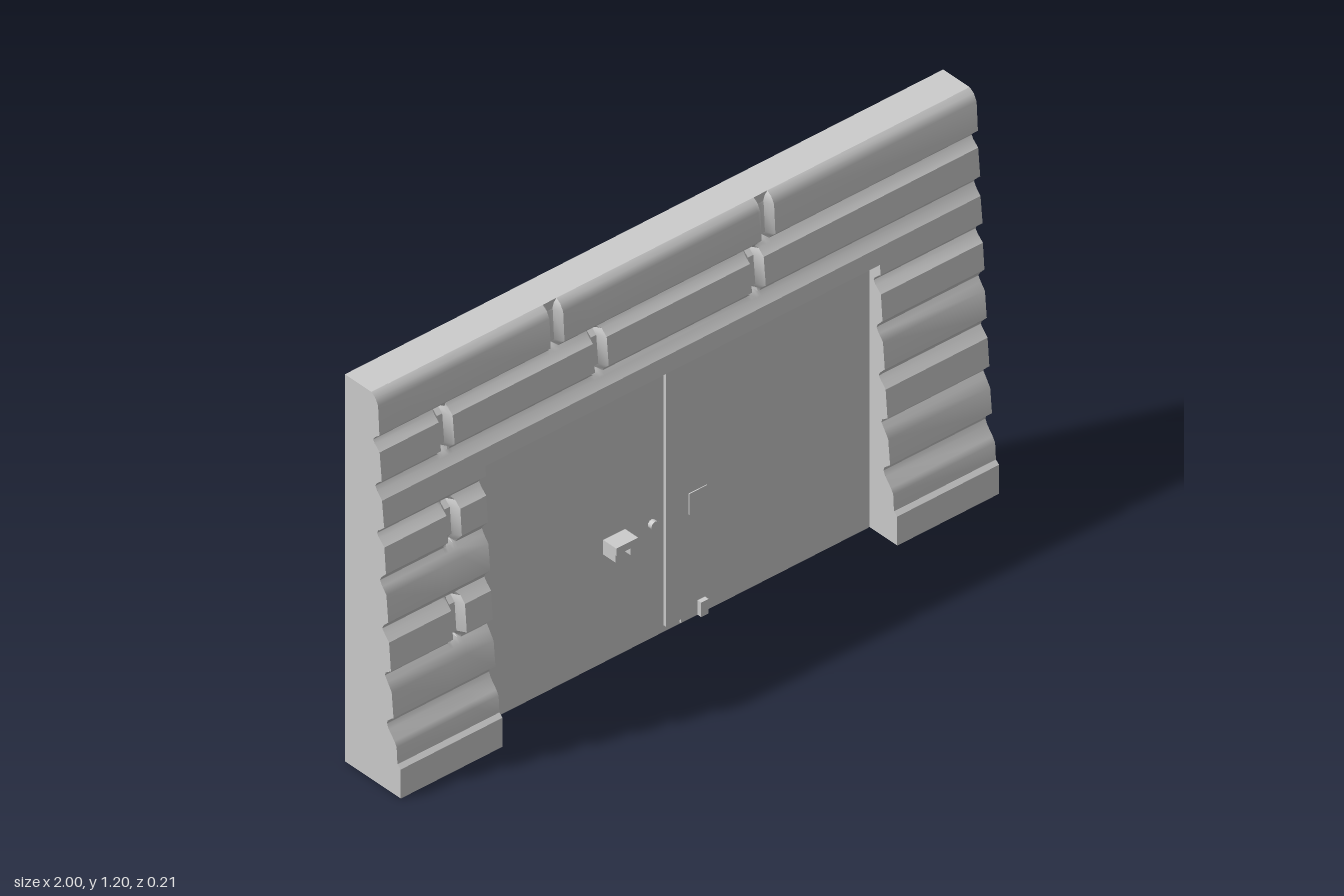
import * as THREE from 'three';
import { toCreasedNormals } from 'three/addons/utils/BufferGeometryUtils.js';

const grey = new THREE.MeshStandardMaterial({ color: 0xcccccc, side: THREE.DoubleSide });
const BACK = -0.107, RIM = 0.055, DOOR_X = 0.66, DOOR_TOP = 0.835;

// Leaning block courses in section: [height, depth]
const profile = [
  [0, 0.107], [0.09, 0.107], [0.1, 0.095], [0.15, 0.092], [0.165, 0.083], [0.19, 0.062],
  [0.205, 0.055], [0.215, 0.058], [0.235, 0.08], [0.31, 0.073], [0.335, 0.057], [0.35, 0.047],
  [0.36, 0.05], [0.375, 0.07], [0.46, 0.063], [0.478, 0.046], [0.49, 0.037], [0.5, 0.041],
  [0.52, 0.06], [0.6, 0.053], [0.62, 0.037], [0.635, 0.028], [0.645, 0.033], [0.665, 0.051],
  [0.745, 0.045], [0.763, 0.025], [0.775, 0.017], [0.785, 0.022], [0.805, 0.044], [0.835, 0.041],
  [0.885, 0.036], [0.905, 0.018], [0.918, 0.011], [0.928, 0.016], [0.945, 0.035], [1.03, 0.027],
  [1.047, 0.008], [1.057, 0.002], [1.068, 0.01], [1.082, 0.026], [1.17, 0.021], [1.19, 0.01], [1.2, -0.005],
];

// Upright joints: [x, bottom, top]
const joints = [
  [-0.405, 1.06, 1.21], [0.3, 1.06, 1.21],
  [-0.78, 0.925, 1.05], [-0.265, 0.925, 1.05], [0.26, 0.925, 1.05],
  [-0.77, 0.64, 0.77], [-0.77, 0.355, 0.485],
];

// Depth of the block face, notched at the joints
function depthAt(x, y, z) {
  let cut = 0;
  for (const [jx, y0, y1] of joints) {
    const d = Math.abs(x - jx);
    if (y > y0 && y < y1 && d < 0.023) cut = Math.max(cut, 0.024 * Math.min(1, (0.023 - d) / 0.014));
  }
  return z - cut;
}

// Moulded sheet of blocks between the given limits
function blockSkin(x0, x1, y0, y1, offset) {
  const cols = new Set([x0, x1]);
  for (const [jx] of joints) {
    for (const d of [-0.023, -0.009, 0.009, 0.023]) if (jx + d > x0 && jx + d < x1) cols.add(jx + d);
  }
  const xs = [...cols].sort((a, b) => a - b);
  const rows = profile.filter(([y]) => y >= y0 && y <= y1);
  const pos = [], index = [], n = xs.length;
  for (const [y, z] of rows) for (const x of xs) pos.push(x, y, depthAt(x, y, z) + offset);
  for (let r = 0; r < rows.length - 1; r++) {
    for (let c = 0; c < n - 1; c++) {
      const a = r * n + c;
      if (offset < 0) index.push(a, a + n, a + 1, a + 1, a + n, a + n + 1);
      else index.push(a, a + 1, a + n, a + 1, a + n + 1, a + n);
    }
  }
  const g = new THREE.BufferGeometry();
  g.setAttribute('position', new THREE.Float32BufferAttribute(pos, 3));
  g.setIndex(index);
  return toCreasedNormals(g, 0.6);
}

// Solid upright slab following the course profile, between two x positions
function profileSlab(x0, x1, top, back) {
  const s = new THREE.Shape();
  s.moveTo(-back, 0);
  for (const [y, z] of profile) if (y <= top) s.lineTo(-z + 0.001, y);
  s.lineTo(-back, top);
  const g = new THREE.ExtrudeGeometry(s, { depth: x1 - x0, bevelEnabled: false });
  return g.rotateY(Math.PI / 2).translate(x0, 0, 0);
}

export function createModel() {
  const group = new THREE.Group();
  const add = (name, geometry) => {
    const m = new THREE.Mesh(geometry, grey);
    m.name = name;
    group.add(m);
    return m;
  };
  const box = (name, x0, x1, y0, y1, z0, z1) =>
    add(name, new THREE.BoxGeometry(x1 - x0, y1 - y0, z1 - z0)
      .translate((x0 + x1) / 2, (y0 + y1) / 2, (z0 + z1) / 2));

  // Block wall, front and hollow back
  for (const [side, offset] of [['Front', 0], ['Back', -0.025]]) {
    add('header' + side, blockSkin(-1, 1, DOOR_TOP, 1.2, offset));
    add('rightPier' + side, blockSkin(-1, -DOOR_X, 0, DOOR_TOP, offset));
    add('leftPier' + side, blockSkin(DOOR_X, 1, 0, DOOR_TOP, offset));
  }

  // Outer frame around the hollow back
  add('rightSideWall', profileSlab(-1, -1 + RIM, 1.2, BACK));
  add('leftSideWall', profileSlab(1 - RIM, 1, 1.2, BACK));
  box('topRail', -1 + RIM, 1 - RIM, 1.2 - RIM, 1.2, BACK, -0.005);
  box('bottomRail', -DOOR_X, DOOR_X, 0, RIM, BACK, -0.004);
  for (const s of [-1, 1]) {
    const a = s * DOOR_X, b = s * (1 - RIM);
    box('pierFoot', Math.min(a, b), Math.max(a, b), 0, RIM, BACK, 0.106);
  }

  // Door opening
  add('rightJamb', profileSlab(-DOOR_X - 0.015, -DOOR_X, DOOR_TOP, -0.012));
  add('leftJamb', profileSlab(DOOR_X, DOOR_X + 0.015, DOOR_TOP, -0.012));
  box('soffit', -DOOR_X, DOOR_X, DOOR_TOP, DOOR_TOP + 0.014, -0.012, 0.038);

  // Pair of doors and the strip where they meet
  box('rightDoor', -DOOR_X, 0, 0, DOOR_TOP, -0.012, 0);
  box('leftDoor', 0, DOOR_X, 0, DOOR_TOP, -0.012, 0);
  box('leftDoorPanel', 0.025, 0.652, 0.005, 0.808, 0, 0.006);
  box('meetingStrip', -0.028, 0.025, 0.02, 0.81, -0.016, 0.009);

  // Handle: a bar on two short legs
  box('handleBar', -0.23, -0.157, 0.358, 0.38, 0, 0.05);
  for (const x of [-0.23, -0.18]) box('handleLeg', x, x + 0.022, 0.335, 0.36, 0, 0.048);

  // Knob through the door, lock plate and door stop
  add('knob', new THREE.CylinderGeometry(0.013, 0.013, 0.036, 12).rotateX(Math.PI / 2).translate(-0.068, 0.355, -0.004));
  box('lockPlate', 0.05, 0.11, 0.33, 0.395, -0.016, 0.009);
  box('doorStop', 0.08, 0.105, 0.005, 0.05, -0.016, 0.02);

  return group;
}
